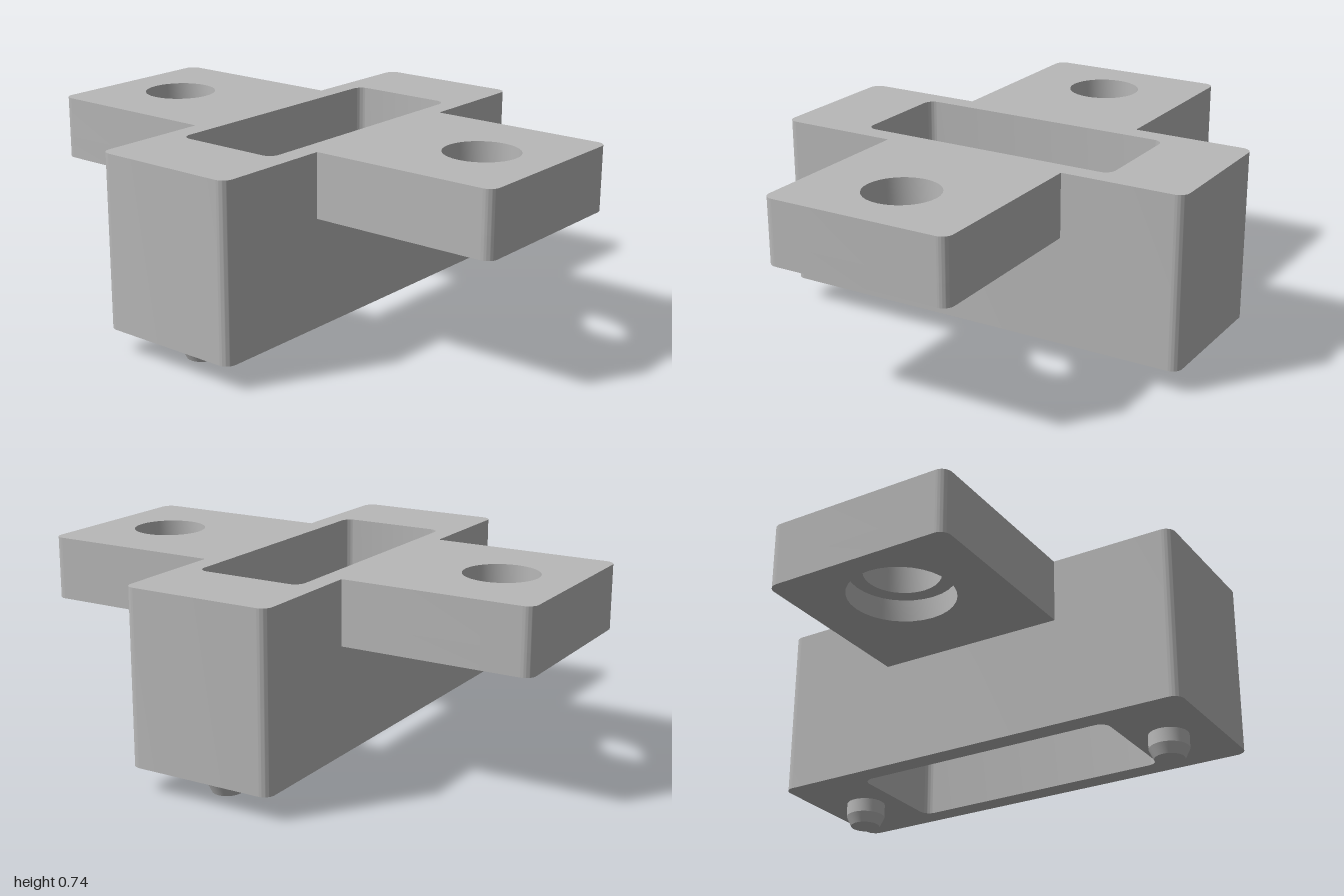
import * as THREE from 'three';
import { toCreasedNormals } from 'three/addons/utils/BufferGeometryUtils.js';

const TOP = 0.735, BASE = 0.09, WING_BASE = 0.495, LEDGE = 0.58;
const HALF_W = 0.287, HALF_D = 0.828, WING_D = 0.362, R = 0.04;

// Rectangle with corner radius rl on the -x side and rr on the +x side
function roundedRect(target, x0, x1, d, rl, rr) {
  target.moveTo(x0 + rl, -d);
  target.lineTo(x1 - rr, -d);
  if (rr) target.absarc(x1 - rr, -d + rr, rr, -Math.PI / 2, 0, false);
  target.lineTo(x1, d - rr);
  if (rr) target.absarc(x1 - rr, d - rr, rr, 0, Math.PI / 2, false);
  target.lineTo(x0 + rl, d);
  if (rl) target.absarc(x0 + rl, d - rl, rl, Math.PI / 2, Math.PI, false);
  target.lineTo(x0, -d + rl);
  if (rl) target.absarc(x0 + rl, -d + rl, rl, Math.PI, Math.PI * 1.5, false);
  return target;
}

// Upright prism between two heights, smooth round the corners
function prism(shape, y0, y1) {
  const geo = new THREE.ExtrudeGeometry(shape, { depth: y1 - y0, bevelEnabled: false, curveSegments: 16 });
  geo.rotateX(-Math.PI / 2).translate(0, y0, 0);
  return toCreasedNormals(geo, Math.PI / 6);
}

export function createModel() {
  const model = new THREE.Group();
  const grey = new THREE.MeshStandardMaterial({ color: 0xb8b8b8 });
  grey.name = 'grey';
  const add = (parent, name, geo) => {
    const mesh = new THREE.Mesh(geo, grey);
    mesh.name = name;
    parent.add(mesh);
    return mesh;
  };

  // Central block with a slot right through it
  const block = roundedRect(new THREE.Shape(), -HALF_W, HALF_W, HALF_D, R, R);
  block.holes.push(roundedRect(new THREE.Path(), -0.21, 0.21, 0.512, R, R));
  add(model, 'slottedBlock', prism(block, BASE, TOP));

  // Mounting wings, each bored through and counterbored from below
  const wingLayer = (radius, y0, y1) => {
    const shape = roundedRect(new THREE.Shape(), HALF_W, 1, WING_D, 0, R);
    shape.holes.push(new THREE.Path().absarc(0.718, 0, radius, 0, Math.PI * 2, true));
    return prism(shape, y0, y1);
  };
  const upper = wingLayer(0.138, LEDGE, TOP);
  const lower = wingLayer(0.193, WING_BASE, LEDGE);
  ['left', 'right'].forEach((side, i) => {
    const wing = new THREE.Group();
    wing.name = side + 'Wing';
    wing.rotation.y = i * Math.PI;
    add(wing, 'boredPlate', upper);
    add(wing, 'counterbore', lower);
    model.add(wing);
  });

  // Locating pegs with tapered tips
  const profile = [[0, 0], [0.055, 0], [0.073, 0.038], [0.073, BASE]].map(p => new THREE.Vector2(...p));
  const peg = toCreasedNormals(new THREE.LatheGeometry(profile, 32), Math.PI / 9);
  for (const [name, z] of [['frontPeg', 0.652], ['backPeg', -0.652]]) {
    add(model, name, peg).position.z = z;
  }
  return model;
}
